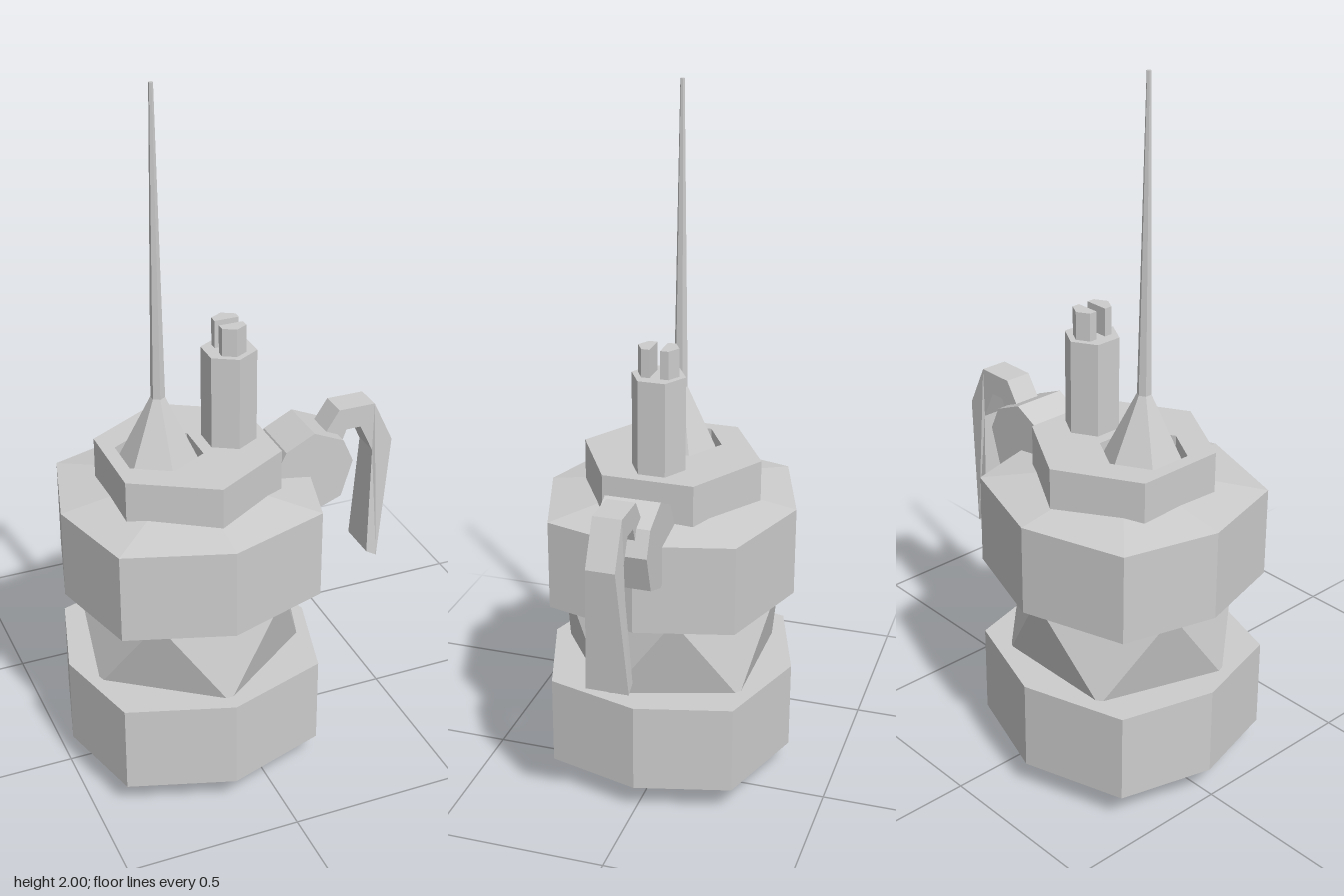
import * as THREE from 'three';

const CX = -0.127; // body axis

export function createModel() {
  const model = new THREE.Group();
  const grey = new THREE.MeshStandardMaterial({ color: 0xcccccc, flatShading: true });
  grey.name = 'light grey';

  const add = (name, geometry, x = 0, y = 0, z = 0) => {
    const mesh = new THREE.Mesh(geometry, grey);
    mesh.name = name;
    mesh.position.set(x, y, z);
    model.add(mesh);
    return mesh;
  };
  const toShape = (points) => new THREE.Shape(points.map(([x, y]) => new THREE.Vector2(x, y)));
  const extrude = (shape, depth) => new THREE.ExtrudeGeometry(shape, { depth, bevelEnabled: false });
  // Upright prism over a plan outline
  const prism = (shape, height) => extrude(shape, height).rotateX(-Math.PI / 2);
  // Hexagon with two corners on the z axis
  const hexagon = (r, x = 0) => Array.from({ length: 6 }, (_, i) => {
    const a = Math.PI / 6 + i * Math.PI / 3;
    return [x + r * Math.cos(a), r * Math.sin(a)];
  });
  // Shallow pyramid over a plan outline, pointing up or down
  const pyramid = (points, height) => {
    const pos = [];
    points.forEach(([x, z], i) => {
      const [u, w] = points[(i + 1) % points.length];
      if (height > 0) pos.push(u, 0, w, x, 0, z, 0, height, 0);
      else pos.push(x, 0, z, u, 0, w, 0, height, 0);
    });
    const g = new THREE.BufferGeometry();
    g.setAttribute('position', new THREE.Float32BufferAttribute(pos, 3));
    g.computeVertexNormals();
    return g;
  };

  // Two eight-sided drums with a pointed base and a sloped shoulder
  const octagon = [[0.363, 0], [0.291, 0.268], [0, 0.363], [-0.291, 0.268],
    [-0.363, 0], [-0.291, -0.268], [0, -0.363], [0.291, -0.268]];
  add('lowerDrum', prism(toShape(octagon), 0.26), CX, 0.08);
  add('basePoint', pyramid(octagon, -0.08), CX, 0.08);
  add('upperDrum', prism(toShape(octagon), 0.26), CX, 0.58);
  add('shoulder', pyramid(octagon, 0.058), CX, 0.84);

  // Faceted waist: a five-sided tube whose top ring is turned half a step
  const waist = new THREE.CylinderGeometry(0.318, 0.318, 0.27, 5, 1, true);
  const p = waist.attributes.position;
  const v = new THREE.Vector3();
  for (let i = 0; i < p.count; i++) {
    v.fromBufferAttribute(p, i);
    if (v.y > 0) v.applyAxisAngle(new THREE.Vector3(0, 1, 0), -Math.PI / 5);
    p.setXYZ(i, v.x, v.y, v.z);
  }
  waist.computeVertexNormals();
  add('waist', waist, CX, 0.46);

  // Hexagonal cap with a socket for the antenna
  const cap = toShape(hexagon(0.26));
  cap.holes.push(toShape(hexagon(0.122, -0.205 + 0.123)));
  add('cap', prism(cap, 0.125), -0.123, 0.85);

  // Antenna: flared foot and long needle
  add('antennaFoot', new THREE.CylinderGeometry(0.02, 0.122, 0.21, 6), -0.205, 1.035);
  add('antennaNeedle', new THREE.CylinderGeometry(0.006, 0.02, 0.86, 6), -0.205, 1.57);

  // Hexagonal post with a split tip
  add('post', new THREE.CylinderGeometry(0.077, 0.077, 0.29, 6), 0, 1.1);
  for (const s of [1, -1]) {
    const half = [[-0.035, 0.015], [0.035, 0.015], [0.035, 0.038], [0, 0.058], [-0.035, 0.038]];
    add(s > 0 ? 'backPostTip' : 'frontPostTip',
      prism(toShape(half.map(([x, y]) => [x, y * s])), 0.08), 0, 1.245);
  }

  // Eight-sided pivot on the side
  const pivot = [[0.105, 0.86], [0.14, 0.932], [0.225, 0.975], [0.315, 0.935],
    [0.346, 0.865], [0.312, 0.757], [0.228, 0.725], [0.14, 0.765]];
  add('pivot', extrude(toShape(pivot), 0.156).translate(0, 0, -0.078));

  // Bent lever that widens towards its lower end
  const lever = [[0.275, 0.945], [0.318, 1.01], [0.428, 1.01], [0.487, 0.885], [0.444, 0.513],
    [0.412, 0.532], [0.426, 0.86], [0.386, 0.945], [0.342, 0.945], [0.325, 0.9]];
  const leverGeo = extrude(toShape(lever), 0.08).translate(0, 0, -0.04);
  const q = leverGeo.attributes.position;
  for (let i = 0; i < q.count; i++) {
    const t = THREE.MathUtils.clamp((0.885 - q.getY(i)) / 0.36, 0, 1);
    const inner = q.getY(i) > 0.8 ? 0 : t;
    q.setZ(i, q.getZ(i) * (1 + 0.5 * inner));
  }
  leverGeo.computeVertexNormals();
  add('lever', leverGeo);

  return model;
}
